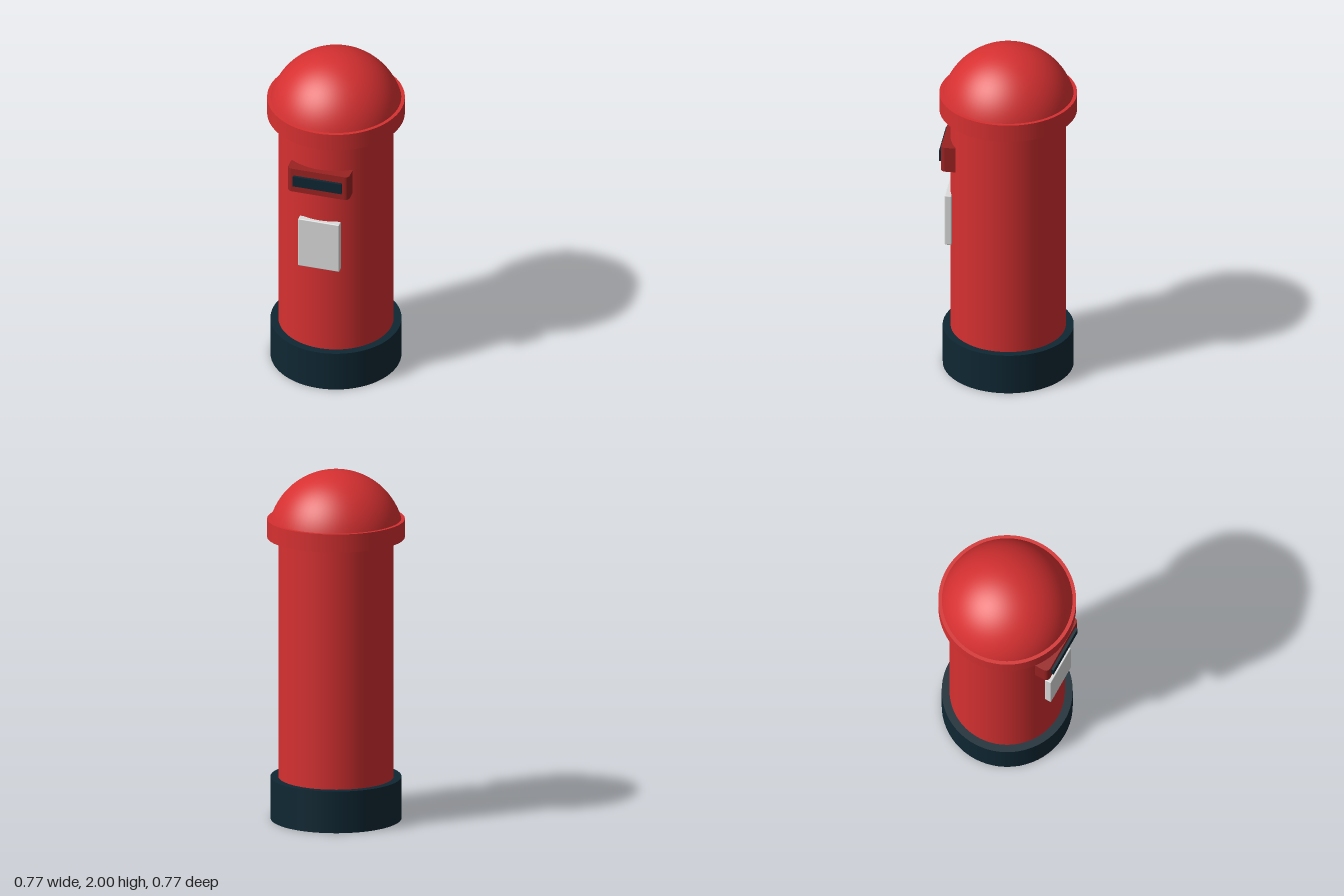
import * as THREE from 'three';
import { RoundedBoxGeometry } from 'three/addons/geometries/RoundedBoxGeometry.js';

export function createModel() {
  const group = new THREE.Group();
  const material = (name, color) => {
    const m = new THREE.MeshStandardMaterial({ color });
    m.name = name;
    return m;
  };
  const red = material('pillar red', 0xd63031);
  const darkRed = material('dark red', 0x9a2222);
  const black = material('blue black', 0x0f2733);
  const grey = material('light grey', 0xdcdcdc);

  const add = (name, geometry, mat, y = 0, z = 0) => {
    const mesh = new THREE.Mesh(geometry, mat);
    mesh.name = name;
    mesh.position.set(0, y, z);
    group.add(mesh);
  };
  const drum = (name, radius, y0, y1, mat) =>
    add(name, new THREE.CylinderGeometry(radius, radius, y1 - y0, 64), mat, (y0 + y1) / 2);

  // Round pillar: base, body, collar and domed cap
  drum('base', 0.367, 0, 0.24, black);
  drum('body', 0.323, 0.2, 1.65, red);
  drum('collar', 0.386, 1.62, 1.725, red);
  add('dome', new THREE.SphereGeometry(0.381, 64, 24, 0, Math.PI * 2, 0, Math.PI / 2), red, 1.619);

  // Slot hood: a plan with rounded vertical edges, extruded upwards
  const w = 0.179, back = 0.274, front = 0.357, r = 0.025;
  const plan = new THREE.Shape();
  plan.moveTo(-w + r, -front);
  plan.lineTo(w - r, -front);
  plan.absarc(w - r, -front + r, r, -Math.PI / 2, 0);
  plan.lineTo(w, -back);
  plan.lineTo(-w, -back);
  plan.lineTo(-w, -front + r);
  plan.absarc(-w + r, -front + r, r, Math.PI, Math.PI * 1.5);
  const hood = new THREE.ExtrudeGeometry(plan, { depth: 0.152, bevelEnabled: false, curveSegments: 6 });
  hood.rotateX(-Math.PI / 2);
  hood.rotateY(0);
  hood.scale(1, 1, 1);
  add('slotHood', hood, darkRed, 1.288);

  // Letter opening and notice plate
  add('letterSlot', new THREE.BoxGeometry(0.284, 0.064, 0.04), black, 1.365, 0.352);
  add('noticePlate', new RoundedBoxGeometry(0.24, 0.314, 0.039, 2, 0.005), grey, 0.943, 0.3235);

  return group;
}
